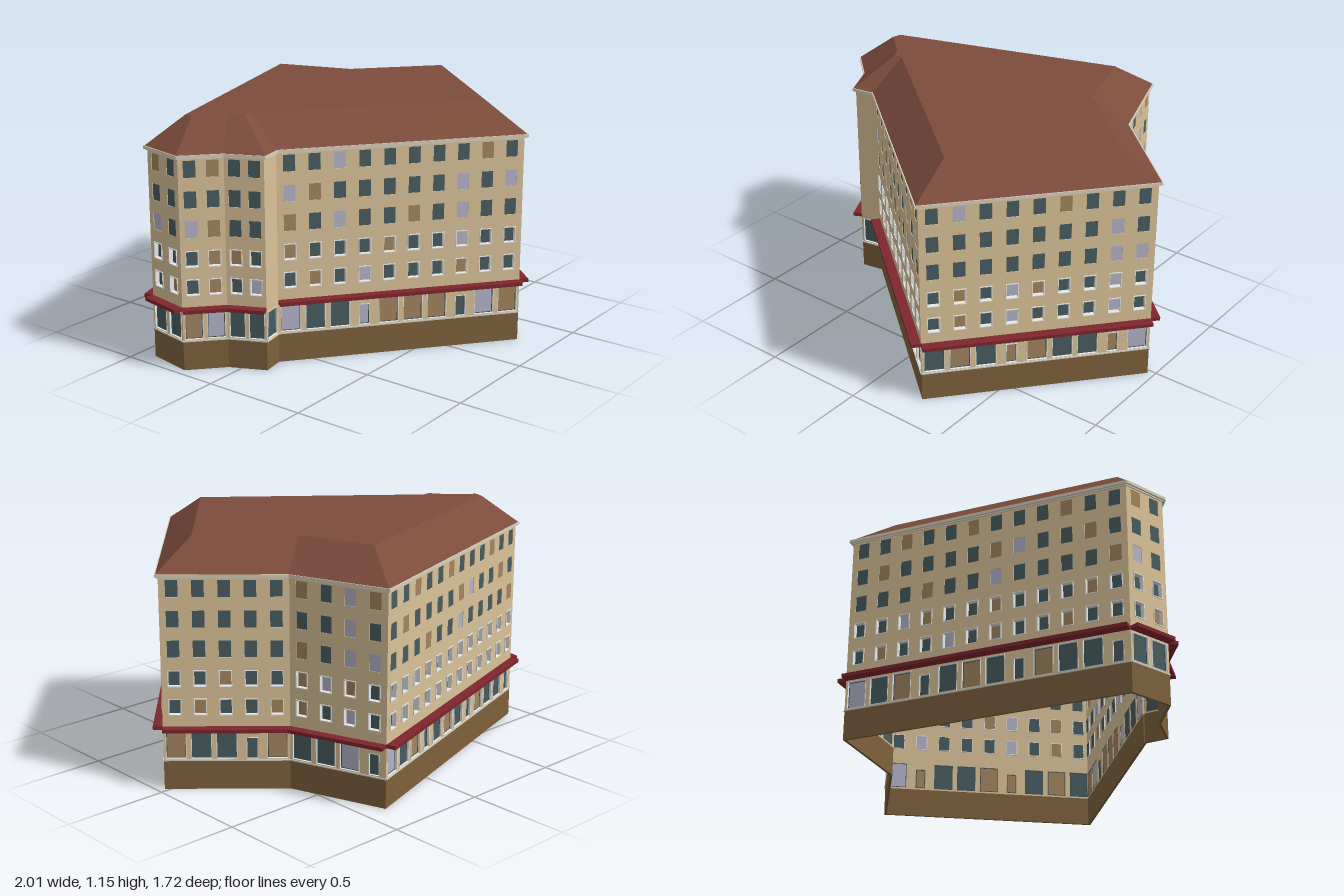
import * as THREE from 'three';
import { mergeGeometries } from 'three/addons/utils/BufferGeometryUtils.js';

const material = (name, color, side = THREE.FrontSide) => {
  const m = new THREE.MeshStandardMaterial({ color, side });
  m.name = name;
  return m;
};

// Footprint of the eaves and of the flat roof top, as [x, z], counter-clockwise from above
const EAVES = [[0.27, 0.84], [0.98, 0.02], [0.55, -0.37], [0.39, -0.83], [-0.93, -0.42],
  [-0.972, -0.19], [-0.82, -0.05], [-0.74, 0.12], [-0.63, 0.10]];
const RIDGE = [[0.25, 0.62], [0.76, 0.04], [0.405, -0.275], [0.29, -0.635], [-0.79, -0.295],
  [-0.8, -0.25], [-0.68, -0.145], [-0.64, -0.08], [-0.6, -0.085]];
// Panes of each side, shop row first and then upwards: d dark, t tan, p pale
const PANES = [
  ['dtdttddtp', 'dtdpdddpd', 'dtdptddpd', 'dddddddpp', 'dddddddpd', 'dpdddtddd'],
  ['tdddt', 'dtddt', 'ddtdd', 'ddddd', 'ddddd', 'ddddd'],
  ['ddpd', 'tdpd', 'tptd', 'tdpp', 'ddpd', 'tdpt'],
  ['pdtddtddtddd', 'dtddpdtddtdd', 'ddptddtdddtd', 'dddtddpddddt', 'dtddddtpddtd', 'ddtddtdddtdd'],
  ['dd', 'dt', 'dd', 'pd', 'dd', 'td'],
  ['tp', 'dt', 'dt', 'pt', 'dd', 'dt'],
  ['dd', 'dp', 'td', 'dd', 'dd', 'dd'],
  ['d'],
  ['pddptttdpt', 'dtdpdddtdd', 'tdddtddpdd', 'tdpddtdpdd', 'ptdddddpdp', 'ddpdddddtd'],
];
const FLOORS = [[0.36, 0.435], [0.495, 0.57], [0.632, 0.71], [0.77, 0.848], [0.91, 0.988]];
const PLINTH = 0.14, WALL_TOP = 1.0, EAVE_Y = 1.016, ROOF_Y = 1.15, THICK = 0.012;

// Mitred offset of a footprint, positive is outwards
function offset(poly, d) {
  const n = poly.length;
  const normal = (a, b) => new THREE.Vector2(a[1] - b[1], b[0] - a[0]).normalize();
  return poly.map((p, i) => {
    const n1 = normal(poly[(i + n - 1) % n], p), n2 = normal(p, poly[(i + 1) % n]);
    const k = d / (1 + n1.dot(n2));
    return [p[0] + (n1.x + n2.x) * k, p[1] + (n1.y + n2.y) * k];
  });
}

const planPoints = (poly) => poly.map(([x, z]) => new THREE.Vector2(x, -z));

// Horizontal ring between two footprints
function ring(outer, inner, y, height) {
  const s = new THREE.Shape(planPoints(outer));
  s.holes.push(new THREE.Path(planPoints(inner)));
  return new THREE.ExtrudeGeometry(s, { depth: height, bevelEnabled: false })
    .rotateX(-Math.PI / 2).translate(0, y, 0);
}

const corners = ([x0, y0, x1, y1]) => [[x0, y0], [x1, y0], [x1, y1], [x0, y1]]
  .map(([x, y]) => new THREE.Vector2(x, y));
const grow = ([x0, y0, x1, y1], t) => [x0 - t, y0 - t, x1 + t, y1 + t];

// Upright slab with rectangular holes, its front at z = front
function slab(rect, holes, depth, front) {
  const s = new THREE.Shape(corners(rect));
  holes.forEach((h) => s.holes.push(new THREE.Path(corners(h))));
  return new THREE.ExtrudeGeometry(s, { depth, bevelEnabled: false }).translate(0, 0, front - depth);
}

const box = (x0, x1, y0, y1, z0, z1) => new THREE.BoxGeometry(x1 - x0, y1 - y0, z1 - z0)
  .translate((x0 + x1) / 2, (y0 + y1) / 2, (z0 + z1) / 2);

export function createModel() {
  const model = new THREE.Group();
  model.name = 'cornerBuilding';
  const beige = material('wallBeige', 0xdac298);
  const brown = material('plinthBrown', 0x7d603c);
  const roofRed = material('roofTile', 0x7c4c3c, THREE.DoubleSide);
  const red = material('awningRed', 0x7e262c);
  const white = material('liningWhite', 0xf4f4f2);
  const cream = material('corniceCream', 0xd9d0bc);
  const frameDark = material('shopFrame', 0x3f5553);
  const panes = {
    d: material('darkGlass', 0x485c60, THREE.DoubleSide),
    t: material('tanBlind', 0xa3845f, THREE.DoubleSide),
    p: material('paleCurtain', 0xb3b3c8, THREE.DoubleSide),
  };

  const add = (name, geometries, mat) => {
    const mesh = new THREE.Mesh(geometries.length > 1 ? mergeGeometries(geometries) : geometries[0], mat);
    mesh.name = name;
    model.add(mesh);
  };

  const walls = [], plinths = [], linings = [], sills = [], shopFrames = [], awnings = [];
  const glass = { d: [], t: [], p: [] };
  const outline = offset(EAVES, -0.01);

  outline.forEach((p, i) => {
    const q = outline[(i + 1) % outline.length];
    const u = new THREE.Vector3(q[0] - p[0], 0, q[1] - p[1]);
    const len = u.length();
    u.normalize();
    const place = new THREE.Matrix4()
      .makeBasis(u, new THREE.Vector3(0, 1, 0), new THREE.Vector3(-u.z, 0, u.x))
      .setPosition(p[0], 0, p[1]);
    const put = (list, g) => list.push(g.applyMatrix4(place));
    const holes = [];
    // Hole in the wall with a pane set back from its face
    const opening = (kind, cx, w, y0, y1, recess) => {
      const r = [cx - w / 2, y0, cx + w / 2, y1];
      holes.push(r);
      put(glass[kind], new THREE.PlaneGeometry(w, y1 - y0).translate(cx, (y0 + y1) / 2, -recess));
      return r;
    };

    const [shops, ...upper] = PANES[i];
    const bay = len / shops.length;
    // Upper windows, the two lower rows deep with white linings
    upper.forEach((row, f) => [...row].forEach((kind, b) => {
      const lined = f < 2;
      const r = opening(kind, (b + 0.5) * bay, Math.min(0.055, bay * 0.6), ...FLOORS[f], lined ? 0.018 : 0.003);
      if (lined) put(linings, slab(grow(r, 0.002), [grow(r, -0.002)], 0.022, 0.004));
    }));
    // Shop windows, with a door in every fourth bay
    [...shops].forEach((kind, b) => {
      const door = b % 4 === 3;
      const w = door ? 0.05 : Math.min(0.098, bay * 0.8);
      const r = opening(kind, (b + 0.5) * bay, w, 0.148, door ? 0.25 : 0.28, 0.01);
      put(linings, slab(grow(r, 0.001), [grow(r, -0.002)], 0.011, 0.002));
      put(shopFrames, slab(grow(r, -0.002), [grow(r, -0.005)], 0.003, -0.008));
    });

    put(walls, slab([0, PLINTH, len, WALL_TOP], holes, THICK, 0));
    put(plinths, slab([0, 0, len, PLINTH], [], THICK, 0));
    put(sills, box(0, len, PLINTH - 0.002, PLINTH + 0.004, -0.002, 0.005));
    if (upper.length) put(awnings, box(0, len, 0.288, 0.305, -0.004, 0.045));
  });

  add('walls', walls, beige);
  add('plinth', plinths, brown);
  add('windowLinings', linings, white);
  add('plinthSill', sills, cream);
  add('shopFrames', shopFrames, frameDark);
  add('awnings', awnings, red);
  add('darkPanes', glass.d, panes.d);
  add('tanPanes', glass.t, panes.t);
  add('palePanes', glass.p, panes.p);

  // Stepped cornice with a lip just outside the eaves
  const inner = offset(outline, -THICK);
  add('cornice', [ring(offset(outline, 0.006), inner, 0.996, 0.006), ring(offset(outline, 0.015), inner, 1.002, 0.014)], cream);

  // Roof slopes and flat top
  const slopes = [];
  EAVES.forEach((a, i) => {
    const j = (i + 1) % EAVES.length;
    const v = ([x, z], y) => [x, y, z];
    const A = v(a, EAVE_Y), B = v(EAVES[j], EAVE_Y), C = v(RIDGE[j], ROOF_Y), D = v(RIDGE[i], ROOF_Y);
    slopes.push(...A, ...B, ...C, ...A, ...C, ...D);
  });
  const slopeGeometry = new THREE.BufferGeometry();
  slopeGeometry.setAttribute('position', new THREE.Float32BufferAttribute(slopes, 3));
  slopeGeometry.computeVertexNormals();
  add('roofSlopes', [slopeGeometry], roofRed);
  add('roofTop', [new THREE.ShapeGeometry(new THREE.Shape(planPoints(RIDGE)))
    .rotateX(-Math.PI / 2).translate(0, ROOF_Y, 0)], roofRed);

  return model;
}
